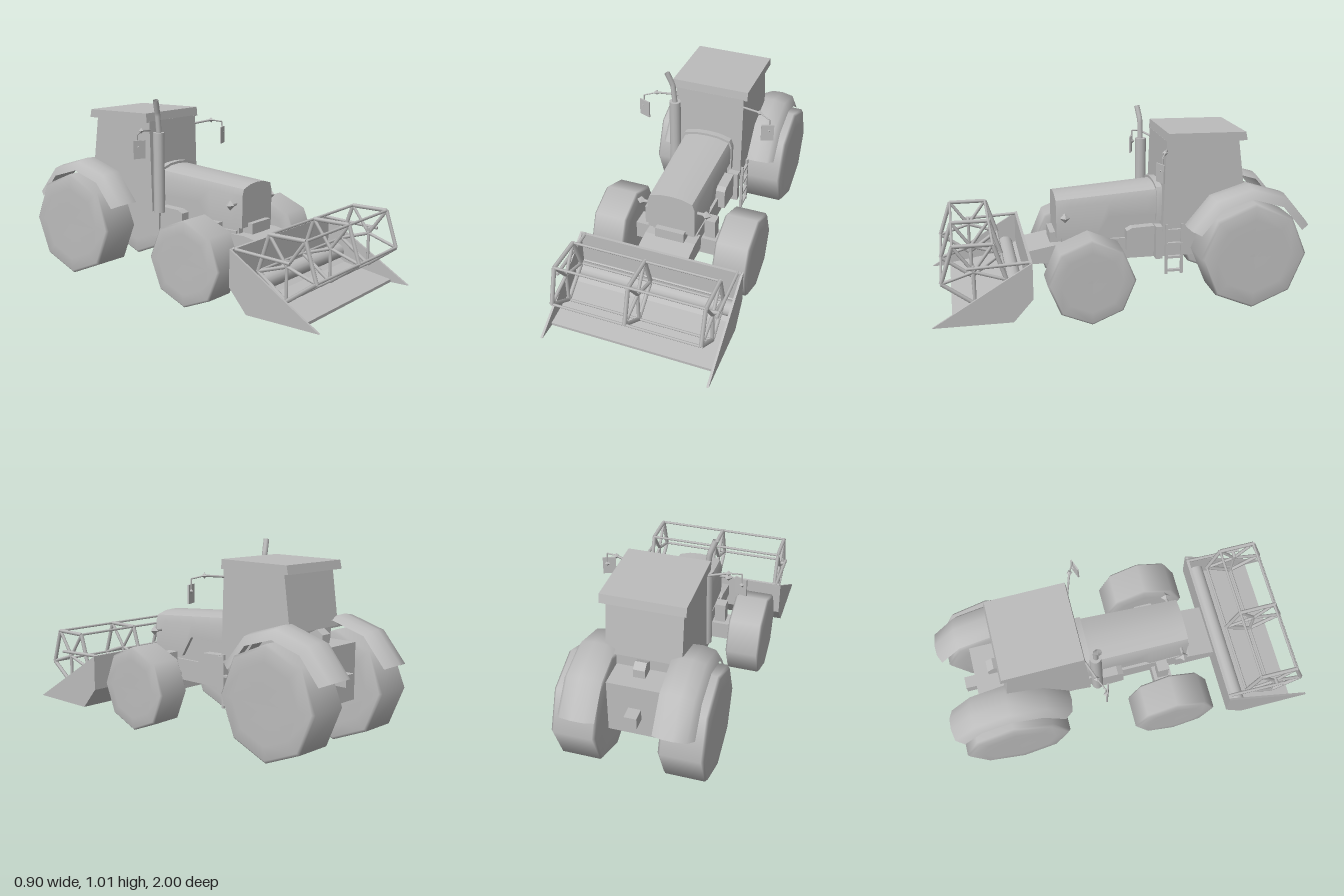
import * as THREE from 'three';
import { toCreasedNormals } from 'three/addons/utils/BufferGeometryUtils.js';

export function createModel() {
  const model = new THREE.Group();
  const grey = new THREE.MeshStandardMaterial({ color: 0xbcbcbc, side: THREE.DoubleSide });
  grey.name = 'plain grey';

  // ---- helpers ----
  const add = (name, geo, parent = model) => {
    const mesh = new THREE.Mesh(geo, grey);
    mesh.name = name;
    parent.add(mesh);
    return mesh;
  };
  const group = (name) => {
    const g = new THREE.Group();
    g.name = name;
    model.add(g);
    return g;
  };
  // box from its limits on each axis
  const box = (name, x0, x1, y0, y1, z0, z1, parent) => {
    const m = add(name, new THREE.BoxGeometry(x1 - x0, y1 - y0, z1 - z0), parent);
    m.position.set((x0 + x1) / 2, (y0 + y1) / 2, (z0 + z1) / 2);
    return m;
  };
  // round bar between two points
  const rod = (name, a, b, r, parent, sides = 6) => {
    const p = new THREE.Vector3(...a), q = new THREE.Vector3(...b);
    const m = add(name, new THREE.CylinderGeometry(r, r, p.distanceTo(q), sides), parent);
    m.position.copy(p).add(q).multiplyScalar(0.5);
    m.quaternion.setFromUnitVectors(new THREE.Vector3(0, 1, 0), q.sub(p).normalize());
    return m;
  };
  const knob = (name, x, y, z, r, parent) => {
    const m = add(name, new THREE.OctahedronGeometry(r), parent);
    m.position.set(x, y, z);
    return m;
  };
  const shapeOf = (pts) => new THREE.Shape(pts.map(([a, b]) => new THREE.Vector2(a, b)));
  // side profile of [z, y] points, extruded across x
  const across = (name, pts, x, width, parent) => {
    const g = new THREE.ExtrudeGeometry(shapeOf(pts), { depth: width, bevelEnabled: false });
    g.translate(0, 0, -width / 2).rotateY(-Math.PI / 2).translate(x, 0, 0);
    return add(name, g, parent);
  };
  // arched front section: half width, bottom, top
  const arch = (w, y0, y1) => shapeOf([
    [-w, y0], [w, y0], [w, y1 - 0.06], [w * 0.9, y1 - 0.022], [w * 0.45, y1 - 0.004],
    [0, y1], [-w * 0.45, y1 - 0.004], [-w * 0.9, y1 - 0.022], [-w, y1 - 0.06]]);

  // ---- wheels: eight-sided, smooth ----
  const wheel = (name, side, x, y, z, r, w) => {
    const pts = [[0, -0.98], [0.7, -1], [0.95, -0.96], [1, -0.85], [1, 0.85], [0.95, 0.96], [0.7, 1], [0, 0.98]]
      .map(([a, b]) => new THREE.Vector2(a * r, b * w));
    const m = add(name, new THREE.LatheGeometry(pts, 8).rotateZ(-Math.PI / 2));
    m.position.set(side * x, y, z);
  };

  // ---- hood: widens and rises to the rear, lower edge steps up ----
  const hood = new THREE.ExtrudeGeometry(arch(0.13, 0.38, 0.605), { depth: 0.56, steps: 8, bevelEnabled: false });
  hood.translate(0, 0, -0.22);
  const hp = hood.attributes.position;
  for (let i = 0; i < hp.count; i++) {
    const z = hp.getZ(i), t = (0.34 - z) / 0.56, y = hp.getY(i);
    hp.setX(i, hp.getX(i) * (1 + 0.08 * t));
    hp.setY(i, y > 0.45 ? y + 0.04 * t : z > 0.1 ? 0.38 : 0.49);
  }
  add('hood', toCreasedNormals(hood, 0.6));
  const lip = new THREE.ExtrudeGeometry(arch(0.146, 0.45, 0.656), { depth: 0.035, bevelEnabled: false });
  add('hoodRearLip', toCreasedNormals(lip.translate(0, 0, -0.23), 0.6));

  // ---- chassis ----
  box('engineBlock', -0.115, 0.115, 0.3, 0.52, -0.22, 0.31);
  box('chassis', -0.13, 0.13, 0.245, 0.36, -0.4, 0.3);
  box('cabBase', -0.14, 0.14, 0.245, 0.6, -0.66, -0.22);
  box('rearBody', -0.14, 0.14, 0.25, 0.54, -0.81, -0.66);
  box('rearAxle', -0.2, 0.2, 0.24, 0.35, -0.72, -0.62);
  box('frontAxle', -0.26, 0.26, 0.19, 0.29, 0.14, 0.24);
  box('frontCarrier', -0.08, 0.08, 0.3, 0.4, 0.3, 0.37);
  across('headerLink', [[0.28, 0.25], [0.5, 0.25], [0.5, 0.32], [0.36, 0.345], [0.28, 0.345]], 0, 0.28);
  across('rearLampHousing', [[-0.66, 0.54], [-0.735, 0.54], [-0.735, 0.585], [-0.7, 0.61], [-0.66, 0.59]], 0, 0.06);
  box('towHitch', -0.032, 0.032, 0.35, 0.41, -0.88, -0.81);

  // ---- cab ----
  across('cab', [[-0.22, 0.4], [-0.235, 0.89], [-0.625, 0.89], [-0.665, 0.6], [-0.47, 0.58], [-0.36, 0.43]], 0, 0.385);
  across('roof', [[-0.235, 0.885], [-0.24, 0.935], [-0.655, 0.93], [-0.665, 0.885]], 0, 0.426);

  // ---- mirrored parts ----
  for (const s of [-1, 1]) {
    wheel('frontWheel', s, 0.342, 0.233, 0.2, 0.226, 0.096);
    wheel('rearWheel', s, 0.268, 0.295, -0.67, 0.287, 0.117);

    // crowned fender bent round the rear wheel
    const section = [[0.14, -0.025], [0.185, -0.003], [0.245, 0], [0.31, -0.012], [0.337, -0.06]];
    const f = new THREE.PlaneGeometry(1, 1, 4, 4), p = f.attributes.position;
    for (let i = 0; i < p.count; i++) {
      const [x, dr] = section[i % 5];
      const a = THREE.MathUtils.degToRad(23 + 33.5 * Math.floor(i / 5)), r = 0.36 + dr;
      p.setXYZ(i, s * x, 0.295 + r * Math.sin(a), -0.67 + r * Math.cos(a));
    }
    if (s > 0) f.index.array.reverse();
    f.computeVertexNormals();
    add('rearFender', f);

    // tank, axle bracket and nose lamp
    across('sideTank', [[-0.03, 0.3], [-0.03, 0.41], [-0.06, 0.425], [-0.18, 0.43], [-0.18, 0.285]], s * 0.14, 0.055);
    box('axleBracket', s * 0.17 - 0.03, s * 0.17 + 0.03, 0.28, 0.4, 0.16, 0.22);
    rod('lampStem', [s * 0.12, 0.505, 0.3], [s * 0.18, 0.505, 0.3], 0.009);
    knob('noseLamp', s * 0.18, 0.505, 0.3, 0.027);

    // mirror on a jointed arm
    const mirror = group('mirror');
    const path = [[0.18, 0.843, -0.24], [0.295, 0.855, -0.2], [0.358, 0.842, -0.17], [0.36, 0.78, -0.17]]
      .map(([x, y, z]) => [s * x, y, z]);
    for (let i = 0; i < 3; i++) rod('mirrorArm', path[i], path[i + 1], i ? 0.004 : 0.006, mirror);
    knob('mirrorJoint', ...path[1], 0.016, mirror);
    knob('mirrorPivot', ...path[3], 0.015, mirror);
    const plate = add('mirrorPlate', new THREE.BoxGeometry(0.068, 0.095, 0.008), mirror);
    plate.position.set(s * 0.352, 0.766, -0.162);
    plate.rotation.y = s * 0.35;
  }

  // ---- exhaust ----
  rod('exhaustStack', [-0.18, 0.4, -0.18], [-0.18, 0.835, -0.18], 0.031, model, 12);
  const bend = new THREE.CurvePath();
  const pts = [[-0.18, 0.83, -0.178], [-0.19, 0.935, -0.178], [-0.217, 1.01, -0.166]].map((v) => new THREE.Vector3(...v));
  bend.add(new THREE.LineCurve3(pts[0], pts[1]));
  bend.add(new THREE.LineCurve3(pts[1], pts[2]));
  add('exhaustPipe', new THREE.TubeGeometry(bend, 8, 0.015, 8));

  // ---- ladder on the left side ----
  const ladder = group('ladder');
  box('ladderMount', 0.13, 0.19, 0.25, 0.43, -0.222, -0.185, ladder);
  for (const z of [-0.24, -0.325]) box('ladderRail', 0.19, 0.205, 0.165, 0.445, z - 0.007, z + 0.007, ladder);
  for (let i = 0; i < 4; i++) {
    const y = 0.185 + i * 0.075;
    box('ladderRung', 0.188, 0.207, y - 0.006, y + 0.006, -0.325, -0.24, ladder);
  }

  // ---- header: trough, end plates, auger ----
  const header = group('header');
  across('trough', [[0.9, 0.065], [0.9, 0.08], [0.62, 0.125], [0.515, 0.19], [0.515, 0.37], [0.5, 0.37],
    [0.5, 0.18], [0.6, 0.065]], 0, 0.88, header);
  rod('auger', [-0.435, 0.18, 0.575], [0.435, 0.18, 0.575], 0.042, header, 16);
  for (const s of [-1, 1]) {
    across('endPlate', [[1, 0.065], [0.6, 0.065], [0.5, 0.18], [0.5, 0.37]], s * 0.443, 0.012, header);
    rod('reelArm', [s * 0.42, 0.365, 0.5], [s * 0.42, 0.35, 0.82], 0.009, header);
    rod('reelPivot', [s * 0.38, 0.345, 0.785], [s * 0.425, 0.352, 0.785], 0.01, header);
  }

  // ---- reel: three five-sided frames joined by bars ----
  const reel = group('reel');
  const corner = (x, i) => {
    const a = THREE.MathUtils.degToRad(54 + 72 * i);
    return [x, 0.324 + 0.168 * Math.sin(a), 0.785 + 0.168 * Math.cos(a)];
  };
  for (let i = 0; i < 5; i++) {
    for (const x of [-0.39, 0, 0.39]) {
      rod('reelRim', corner(x, i), corner(x, i + 1), 0.011, reel);
      rod('reelSpoke', [x, 0.324, 0.785], corner(x, i), 0.009, reel);
    }
    rod('reelBar', corner(-0.39, i), corner(0.39, i), 0.007, reel);
  }
  return model;
}
